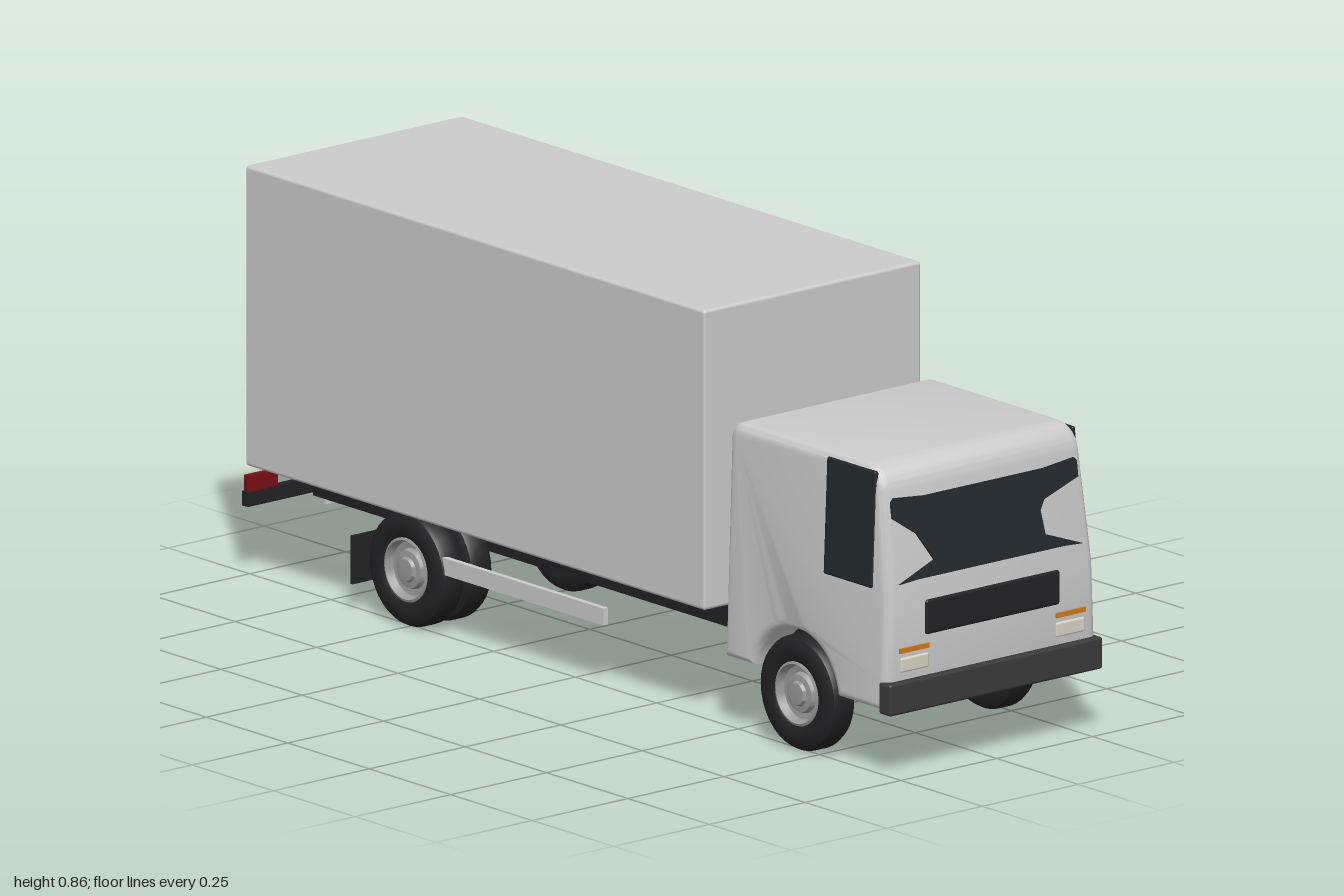
import * as THREE from 'three';
import { toCreasedNormals } from 'three/addons/utils/BufferGeometryUtils.js';
import { RoundedBoxGeometry } from 'three/addons/geometries/RoundedBoxGeometry.js';

const paint = (color, extra = {}) => new THREE.MeshStandardMaterial({ color, ...extra });
const grey = paint(0xcccccc);
const black = paint(0x222224);
const charcoal = paint(0x3a3a3c);
const glass = paint(0x23292e);
const amber = paint(0xd07a1a);
const lamp = paint(0xd8d5c5);
const red = paint(0x7a1015);

function add(parent, name, geometry, material, x = 0, y = 0, z = 0) {
  const mesh = new THREE.Mesh(geometry, material);
  mesh.name = name;
  mesh.position.set(x, y, z);
  parent.add(mesh);
  return mesh;
}

// Box given by its limits on each axis, optionally with rounded edges
function block(parent, name, material, [x0, x1], [y0, y1], [z0, z1], r = 0) {
  const size = [x1 - x0, y1 - y0, z1 - z0];
  const geometry = r ? new RoundedBoxGeometry(...size, 2, r) : new THREE.BoxGeometry(...size);
  return add(parent, name, geometry, material, (x0 + x1) / 2, (y0 + y1) / 2, (z0 + z1) / 2);
}

// Cab: side profile with wheel arches, extruded across and narrowed upwards
const cabHalf = (y) => 0.278 - 0.04 * (y - 0.14);
function cabGeometry() {
  const s = new THREE.Shape();
  s.moveTo(0.485, 0.15);
  s.lineTo(0.482, 0.6);
  s.quadraticCurveTo(0.482, 0.635, 0.52, 0.635);
  s.lineTo(0.89, 0.635);
  s.quadraticCurveTo(0.948, 0.635, 0.955, 0.58);
  s.lineTo(0.985, 0.36);
  s.lineTo(0.985, 0.2);
  s.lineTo(0.975, 0.14);
  s.absarc(0.7, 0.118, 0.132, 0.17, Math.PI - 0.25, false);
  const bevel = 0.02, half = 0.278;
  const g = new THREE.ExtrudeGeometry(s, {
    depth: 2 * (half - bevel), bevelThickness: bevel, bevelSize: bevel,
    bevelOffset: -bevel, bevelSegments: 4, curveSegments: 16,
  });
  g.translate(0, 0, -(half - bevel));
  g.rotateY(-Math.PI / 2);
  const p = g.attributes.position;
  for (let i = 0; i < p.count; i++) p.setX(i, p.getX(i) * cabHalf(p.getY(i)) / half);
  return toCreasedNormals(g, 0.6);
}

// Windscreen with drawn-in sides
function windscreenGeometry() {
  const right = [[0.235, 0.09], [0.242, 0.082], [0.242, 0.05], [0.15, 0.02], [0.138, 0], [0.145, -0.05], [0.24, -0.085]];
  const left = [[-0.24, -0.085], [-0.145, -0.05], [-0.185, 0.01], [-0.243, 0.05], [-0.243, 0.082], [-0.235, 0.09]];
  const top = [[-0.155, 0.082], [0.155, 0.082]];
  const shape = new THREE.Shape([...right, [0.19, -0.082], [-0.19, -0.082], ...left, ...top].map(([x, y]) => new THREE.Vector2(x, y)));
  return new THREE.ExtrudeGeometry(shape, { depth: 0.008, bevelEnabled: false });
}

// Wheel parts are turned about x, outer face towards +x
const R = 0.118;
function lathe(points, segments = 36) {
  const g = new THREE.LatheGeometry(points.map(([r, h]) => new THREE.Vector2(r, h)), segments);
  g.rotateZ(-Math.PI / 2);
  return toCreasedNormals(g, 0.6);
}
const tyre = lathe([[0.064, -0.026], [0.075, -0.033], [0.1, -0.033], [0.113, -0.026], [R, -0.016],
  [R, 0.016], [0.113, 0.026], [0.1, 0.033], [0.075, 0.033], [0.064, 0.026], [0.064, -0.026]]);
const rim = lathe([[0, -0.012], [0.064, -0.026], [0.066, 0.029], [0.061, 0.031], [0.055, 0.014], [0.042, 0.012],
  [0.038, 0.022], [0.026, 0.024], [0.022, 0.03], [0, 0.03]]);
function wheel(parent, name, x, z, side) {
  const g = new THREE.Group();
  g.name = name;
  add(g, 'tyre', tyre, black);
  add(g, 'rim', rim, paint(0x9a9a9a, { side: THREE.DoubleSide }));
  g.position.set(side * x, R, z);
  if (side < 0) g.rotation.y = Math.PI;
  parent.add(g);
}

export function createModel() {
  const truck = new THREE.Group();
  truck.name = 'boxTruck';

  // Cargo box and cab
  block(truck, 'cargoBox', grey, [-0.283, 0.283], [0.235, 0.855], [-0.975, 0.435], 0.007);
  add(truck, 'cab', cabGeometry(), grey);
  block(truck, 'cabFloor', black, [-0.195, 0.195], [0.138, 0.27], [0.49, 0.965]);

  // Cab front
  const screen = add(truck, 'windscreen', windscreenGeometry(), glass, 0, 0.481, 0.9645);
  screen.rotation.x = -Math.atan(0.03 / 0.22);
  block(truck, 'grille', black, [-0.175, 0.175], [0.284, 0.356], [0.975, 0.99], 0.006);
  block(truck, 'frontBumper', charcoal, [-0.278, 0.278], [0.135, 0.201], [0.963, 1], 0.006);

  // Rear end
  block(truck, 'rearBumper', black, [-0.27, 0.27], [0.145, 0.175], [-1, -0.982]);
  block(truck, 'rearPlate', grey, [-0.057, 0.057], [0.11, 0.137], [-0.998, -0.992]);

  // Fuel tank on the left side
  const tank = add(truck, 'fuelTank', new THREE.CylinderGeometry(0.055, 0.055, 0.275, 12),
    paint(0xcccccc, { flatShading: true }), 0.228, 0.17, 0.2175);
  tank.rotation.x = Math.PI / 2;

  // Parts that repeat on both sides
  for (const side of [1, -1]) {
    const span = (a, b) => (side > 0 ? [a, b] : [-b, -a]);
    block(truck, 'chassisRail', black, span(0.094, 0.119), [0.147, 0.196], [-0.96, 0.95]);
    block(truck, 'sideGuard', grey, span(0.25, 0.262), [0.13, 0.165], [-0.4, 0.1]);
    block(truck, 'mudFlap', black, span(0.135, 0.272), [0.055, 0.155], [-0.664, -0.658]);
    block(truck, 'tailLight', red, span(0.19, 0.266), [0.175, 0.208], [-0.998, -0.984]);
    block(truck, 'headlight', lamp, span(0.166, 0.24), [0.217, 0.247], [0.975, 0.989], 0.004);
    block(truck, 'indicator', amber, span(0.166, 0.242), [0.257, 0.267], [0.975, 0.989]);

    const window = add(truck, 'sideWindow', new RoundedBoxGeometry(0.01, 0.24, 0.15, 2, 0.004), glass,
      side * (cabHalf(0.505) - 0.002), 0.505, 0.86);
    window.rotation.z = side * 0.04;

    wheel(truck, 'frontWheel', 0.239, 0.7, side);
    wheel(truck, 'rearOuterWheel', 0.239, -0.5, side);
    wheel(truck, 'rearInnerWheel', 0.166, -0.5, side);
  }
  return truck;
}
